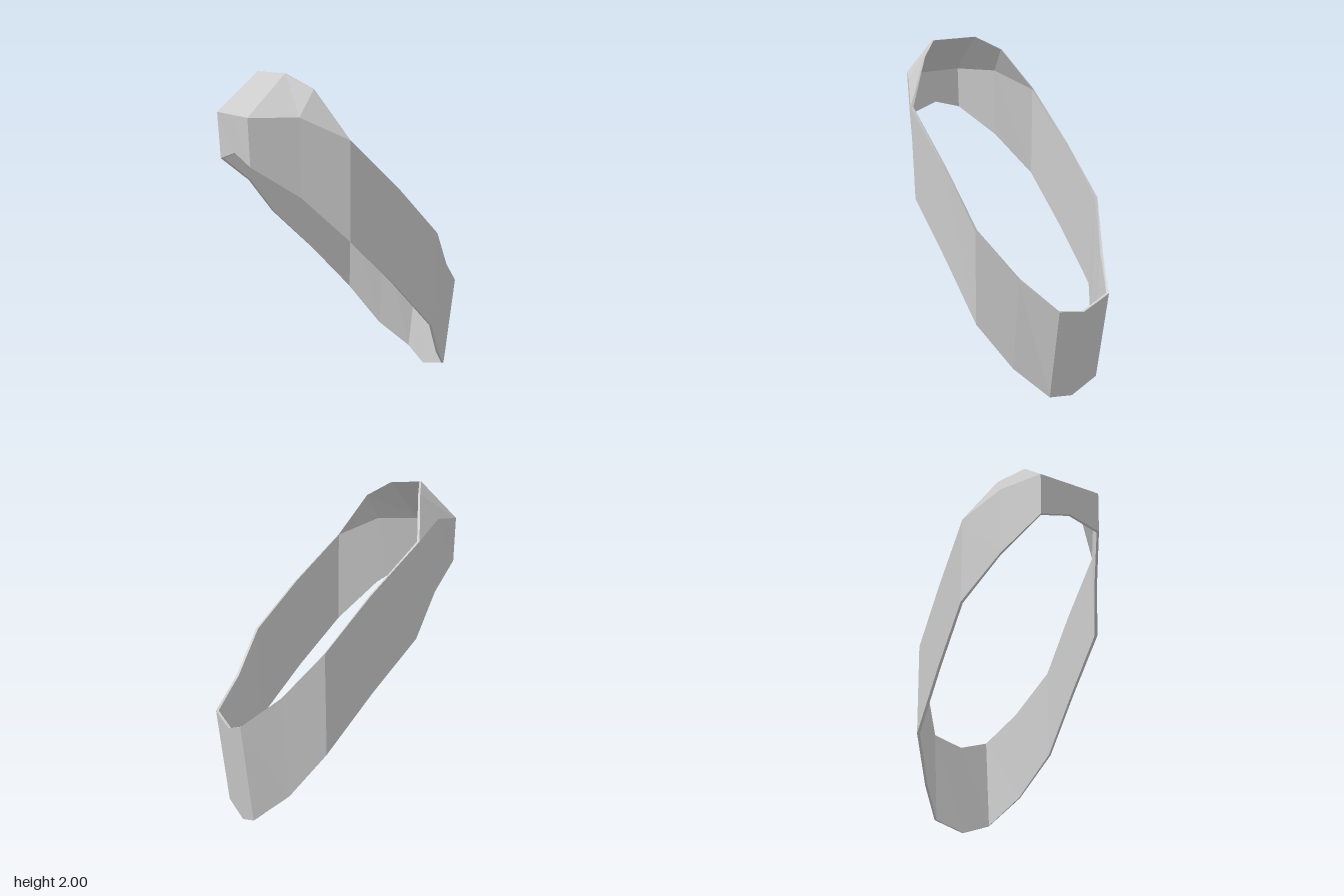
import * as THREE from 'three';

// Half of the ring, from the low end (+x) round the +z side to the high end (-x).
// Each station: outer bottom, outer shoulder, outer top (x, y, z).
const low = (b, t) => [b, t, t];
const half = [
  low([0.65, 0, 0], [0.725, 0.58, 0]),
  low([0.66, 0.065, 0.19], [0.73, 0.64, 0.195]),
  low([0.495, 0.23, 0.33], [0.54, 0.81, 0.33]),
  low([0.325, 0.49, 0.465], [0.34, 1.07, 0.475]),
  low([0.03, 0.81, 0.468], [0.05, 1.37, 0.475]),
  low([-0.265, 1.1, 0.468], [-0.27, 1.66, 0.475]),
  [[-0.49, 1.345, 0.33], [-0.5, 1.78, 0.335], [-0.39, 1.92, 0.3]],
  [[-0.725, 1.515, 0.195], [-0.735, 1.78, 0.198], [-0.49, 2, 0.165]],
  [[-0.725, 1.57, 0], [-0.735, 1.78, 0], [-0.49, 2, 0]],
];

// Closed wall section: up the outside, over the rim, down the inside
function section([b, s, t]) {
  const inner = ([x, y, z], drop = 0) => [x * 0.98, y - drop, z * 0.965];
  return [b, s, t, inner(t), inner(s, s === t ? 0 : 0.01), inner(b)];
}

function bandGeometry() {
  const mirrored = half.slice(1, -1).reverse()
    .map((st) => {
      const [b, s, t] = st.map(([x, y, z]) => [x, y, -z]);
      return st[1] === st[2] ? low(b, t) : [b, s, t];
    });
  const rings = [...half, ...mirrored].map(section)
    .map((ring) => ring.map((p) => new THREE.Vector3(...p)));
  const positions = [];
  const triangle = (a, b, c) => {
    // Skip the collapsed faces where shoulder and top meet
    if (new THREE.Triangle(a, b, c).getArea() < 1e-7) return;
    for (const p of [a, b, c]) positions.push(p.x, p.y, p.z);
  };
  rings.forEach((ring, i) => {
    const next = rings[(i + 1) % rings.length];
    ring.forEach((a, j) => {
      const k = (j + 1) % ring.length;
      triangle(a, ring[k], next[k]);
      triangle(a, next[k], next[j]);
    });
  });
  const geometry = new THREE.BufferGeometry();
  geometry.setAttribute('position', new THREE.Float32BufferAttribute(positions, 3));
  geometry.computeVertexNormals();
  return geometry;
}

export function createModel() {
  const group = new THREE.Group();
  group.name = 'tiltedBand';
  const material = new THREE.MeshStandardMaterial({
    color: 0xcccccc, flatShading: true, side: THREE.DoubleSide,
  });
  const band = new THREE.Mesh(bandGeometry(), material);
  band.name = 'band';
  group.add(band);
  return group;
}
